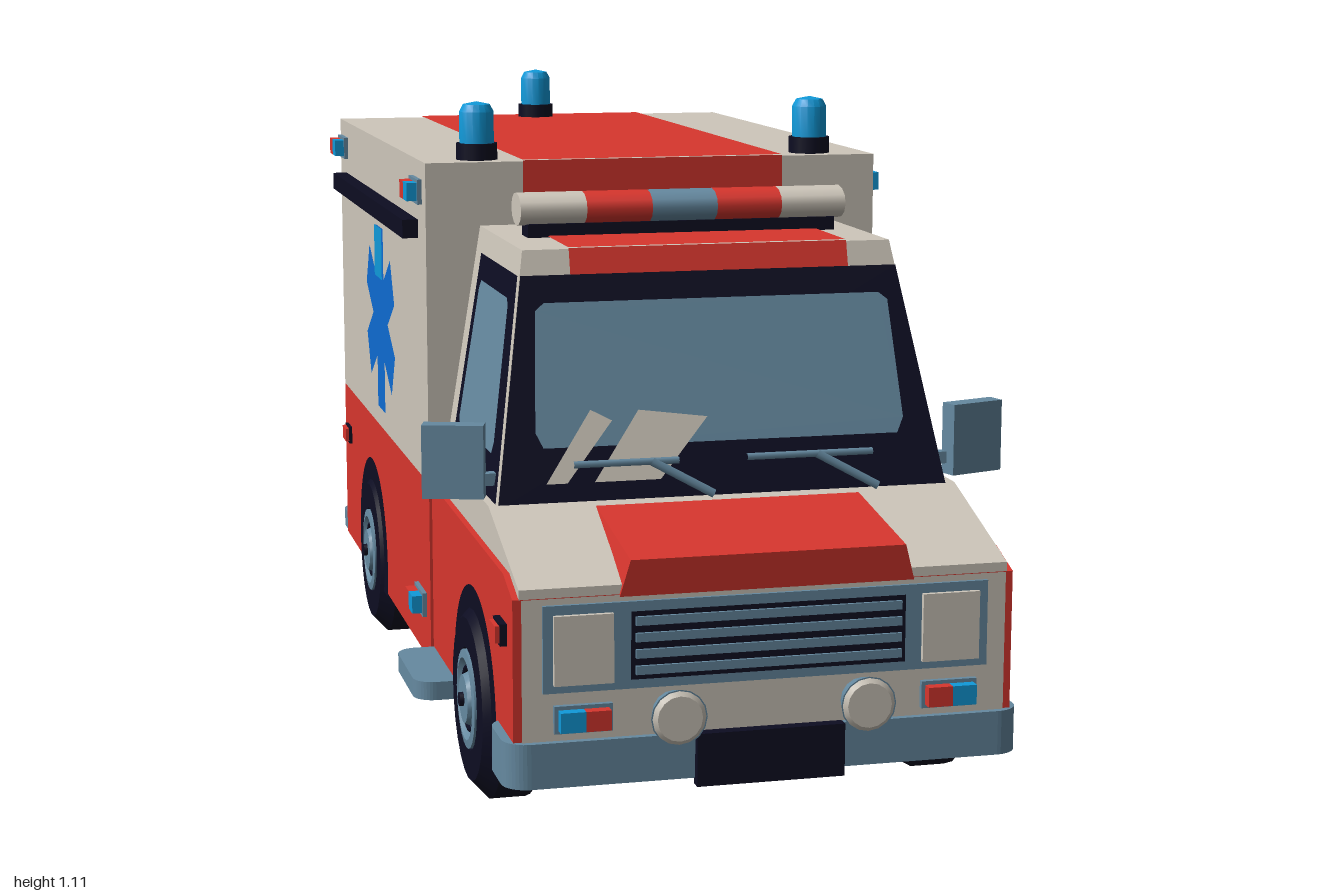
import * as THREE from 'three';
import { toCreasedNormals } from 'three/addons/utils/BufferGeometryUtils.js';

const mat = (name, color) => Object.assign(new THREE.MeshStandardMaterial({ color }), { name });
const white = mat('warm white', 0xcec7bb);
const red = mat('signal red', 0xd8362e);
const steel = mat('blue grey', 0x668aa1);
const black = mat('ink black', 0x0d0d22);
const blue = mat('emblem blue', 0x0f6bd2);
const cyan = mat('beacon blue', 0x109ada);

export function createModel() {
  const root = new THREE.Group();
  root.name = 'ambulance';
  const add = (name, geo, m, parent = root) => {
    const mesh = new THREE.Mesh(geo, m);
    mesh.name = name;
    parent.add(mesh);
    return mesh;
  };
  // axis-aligned block from its limits
  const block = (name, m, x0, x1, y0, y1, z0, z1, parent) =>
    add(name, new THREE.BoxGeometry(x1 - x0, y1 - y0, z1 - z0)
      .translate((x0 + x1) / 2, (y0 + y1) / 2, (z0 + z1) / 2), m, parent);
  // box whose eight corners are placed by a rule
  const hexa = (name, m, rule) => {
    const g = new THREE.BoxGeometry(2, 2, 2), p = g.attributes.position;
    for (let i = 0; i < p.count; i++) p.setXYZ(i, ...rule(p.getX(i), p.getY(i), p.getZ(i)));
    g.computeVertexNormals();
    return add(name, g, m);
  };
  const shapeOf = pts => new THREE.Shape(pts.map(p => new THREE.Vector2(...p)));
  // side profile in (z, y) extruded across the width
  const across = (name, m, pts, half) => add(name,
    new THREE.ExtrudeGeometry(shapeOf(pts), { depth: half * 2, bevelEnabled: false })
      .translate(0, 0, -half).rotateY(-Math.PI / 2), m);
  // flat slab with rounded corners in plan
  const slab = (name, m, x0, x1, z0, z1, y0, y1, r) => {
    const s = new THREE.Shape();
    [[x0 + r, z0 + r, Math.PI], [x1 - r, z0 + r, 1.5 * Math.PI], [x1 - r, z1 - r, 0], [x0 + r, z1 - r, Math.PI / 2]]
      .forEach(([x, z, a]) => s.absarc(x, z, r, a, a + Math.PI / 2));
    const g = new THREE.ExtrudeGeometry(s, { depth: y1 - y0, bevelEnabled: false, curveSegments: 5 });
    return add(name, g.rotateX(Math.PI / 2).translate(0, y1, 0), m);
  };
  // painted face: a shape in (u, v) laid on a surface
  const paint = (name, m, shape, place, flip) => {
    const g = new THREE.ShapeGeometry(Array.isArray(shape) ? shapeOf(shape) : shape, 16), p = g.attributes.position;
    for (let i = 0; i < p.count; i++) p.setXYZ(i, ...place(p.getX(i), p.getY(i)));
    if (flip) g.index.array.reverse();
    g.computeVertexNormals();
    return add(name, g, m);
  };
  const rect = (u0, u1, v0, v1) => [[u0, v0], [u1, v0], [u1, v1], [u0, v1]];
  const cabWidth = y => 0.38 - 0.164 * (y - 0.49);
  const screenZ = y => 0.71 - 0.288 * (y - 0.49);
  const onFront = z => (u, v) => [u, v, z];
  const onScreen = d => (u, v) => [u, v, screenZ(v) + d];
  const onRear = d => (u, v) => [u, v, -0.862 - d];
  const onTop = y => (u, v) => [u, y, v];
  const onSide = (s, x) => (u, v) => [s * x, v, u];
  const onCabSide = (s, d) => (u, v) => [s * (cabWidth(v) + d), v, u];
  const lathe = (pts, seg = 24) => toCreasedNormals(
    new THREE.LatheGeometry(pts.map(p => new THREE.Vector2(...p)), seg), 0.6);

  // rear box and cab shells
  block('lowerBox', red, -0.41, 0.41, 0.11, 0.437, -0.862, 0.225);
  block('upperBox', white, -0.41, 0.41, 0.437, 1.006, -0.862, 0.225);
  block('underside', black, -0.4, 0.4, 0.102, 0.112, -0.858, 0.945);
  across('lowerCab', red, [[0.22, 0.11], [0.952, 0.11], [0.952, 0.405], [0.88, 0.43], [0.22, 0.437]], 0.405);
  across('hoodAndDoorTops', white,
    [[0.22, 0.437], [0.88, 0.43], [0.952, 0.405], [0.952, 0.42], [0.71, 0.5], [0.22, 0.5]], 0.395);
  hexa('cabin', white, (x, y, z) => {
    const h = y > 0 ? 0.895 : 0.48;
    return [x * cabWidth(h), h, z > 0 ? screenZ(h) : 0.22];
  });
  hexa('hoodScoop', red, (x, y, z) => [x * (y > 0 ? 0.222 : 0.238),
    z > 0 ? (y > 0 ? 0.46 : 0.402) : (y > 0 ? 0.5 : 0.43), z > 0 ? (y > 0 ? 0.962 : 0.957) : 0.69]);

  // red roof stripe
  paint('boxRoofStripe', red, rect(-0.237, 0.237, -0.862, 0.225), onTop(1.009), true);
  paint('boxFrontStripe', red, rect(-0.237, 0.237, 0.895, 1.008), onFront(0.228));
  paint('cabRoofStripe', red, rect(-0.237, 0.237, 0.225, 0.593), onTop(0.898), true);
  paint('cabBrowStripe', red, rect(-0.237, 0.237, 0.855, 0.897), onScreen(0.004));

  // windscreen, glints and wipers
  paint('windscreenFrame', black, [[-0.38, 0.492], [0.38, 0.492], [0.32, 0.855], [-0.32, 0.855]], onScreen(0.004));
  paint('windscreenGlass', steel,
    [[-0.3, 0.585], [0.3, 0.585], [0.312, 0.61], [0.3, 0.8], [0.285, 0.812], [-0.285, 0.812], [-0.3, 0.8], [-0.312, 0.61]],
    onScreen(0.008));
  paint('glint', white, [[-0.3, 0.53], [-0.265, 0.53], [-0.185, 0.625], [-0.22, 0.643]], onScreen(0.012));
  paint('glint', white, [[-0.22, 0.53], [-0.11, 0.53], [-0.025, 0.625], [-0.14, 0.64]], onScreen(0.012));
  for (const [x0, x1, xa] of [[-0.255, -0.08, -0.025], [0.035, 0.25, 0.255]]) {
    const at = (x, y) => new THREE.Vector3(x, y, screenZ(y) + 0.02);
    const rod = (a, b, r) => add('wiper', new THREE.TubeGeometry(new THREE.LineCurve3(a, b), 1, r, 6), steel);
    rod(at(x0, 0.56), at(x1, 0.56), 0.006);
    rod(at(xa - 0.1, 0.56), at(xa, 0.505), 0.008);
  }

  // front panel, grille and headlamps
  paint('frontPanel', white, rect(-0.392, 0.392, 0.11, 0.405), onFront(0.956));
  block('grilleFrame', steel, -0.36, 0.36, 0.257, 0.395, 0.94, 0.962);
  paint('grilleOpening', black, rect(-0.222, 0.222, 0.272, 0.38), onFront(0.965));
  for (let i = 0; i < 4; i++) block('grilleSlat', steel, -0.215, 0.215, 0.28 + i * 0.026, 0.294 + i * 0.026, 0.955, 0.97);
  slab('frontBumper', steel, -0.42, 0.42, 0.82, 0.967, 0.108, 0.18, 0.04);
  block('frontPlate', black, -0.12, 0.12, 0.097, 0.182, 0.96, 0.98);

  // rear face
  paint('rearLowerPanel', steel, rect(-0.41, 0.41, 0.11, 0.26), onRear(0.003), true);
  slab('rearStep', steel, -0.405, 0.405, -0.983, -0.85, 0.106, 0.143, 0.045);
  block('rearPlate', black, -0.125, 0.125, 0.158, 0.25, -0.878, -0.86);
  const pipe = new THREE.CatmullRomCurve3([[0.1, -0.55], [0.085, -0.82], [0.06, -0.985]]
    .map(([y, z]) => new THREE.Vector3(-0.18, y, z)));
  add('exhaust', new THREE.TubeGeometry(pipe, 8, 0.027, 10), steel);
  add('exhaustEnd', new THREE.CircleGeometry(0.027, 10).rotateY(Math.PI).translate(-0.18, 0.06, -0.984), black);

  // roof light bar in five segments
  block('lightBarBase', black, -0.27, 0.27, 0.893, 0.918, 0.38, 0.43);
  [white, red, steel, red, white].forEach((m, i) => add('lightBarSegment',
    new THREE.CylinderGeometry(1, 1, 0.114, 12).scale(0.028, 1, 0.042).rotateZ(Math.PI / 2)
      .translate(-0.228 + i * 0.114, 0.942, 0.405), m));

  // beacons
  for (const [x, z] of [[-0.307, 0.163], [0.307, 0.163], [0, -0.8]]) {
    add('beaconBase', new THREE.CylinderGeometry(0.037, 0.037, 0.03, 16), black).position.set(x, 1.02, z);
    add('beaconDome', lathe([[0.031, 0], [0.031, 0.055], [0.024, 0.068], [0, 0.073]], 16), cyan).position.set(x, 1.035, z);
  }

  // two-colour marker lamp, built facing +z
  const marker = (x, y, z, turn, blueSide) => {
    const g = new THREE.Group();
    g.name = 'markerLamp';
    block('markerFrame', steel, -0.046, 0.046, -0.022, 0.022, -0.01, 0.008, g);
    for (const k of [-1, 1]) {
      const a = k * 0.004, b = k * 0.04;
      block('markerLens', k === blueSide ? cyan : red, Math.min(a, b) - (k > 0 ? 0.004 : 0),
        Math.max(a, b) + (k < 0 ? 0.004 : 0), -0.016, 0.016, 0, 0.026, g);
    }
    g.position.set(x, y, z);
    g.rotation.y = turn;
    root.add(g);
  };

  const tyre = [[0, -0.057], [0.135, -0.057], [0.165, -0.03], [0.165, 0.03], [0.135, 0.057], [0.085, 0.057], [0.08, 0.05], [0, 0.05]];
  const rim = [[0.082, 0.045], [0.082, 0.06], [0.068, 0.062], [0.058, 0.052], [0.045, 0.052], [0.04, 0.064], [0, 0.064]];

  for (const s of [-1, 1]) {
    const flip = s > 0;
    // wheels and arches
    for (const [z, x] of [[0.648, 0.405], [-0.443, 0.41]]) {
      const arch = new THREE.Shape();
      arch.absarc(z, 0.165, 0.187, -0.3, Math.PI + 0.3);
      paint('wheelArch', black, arch, onSide(s, x + 0.004), flip);
      const wheel = new THREE.Group();
      wheel.name = 'wheel';
      add('tyre', lathe(tyre), black, wheel);
      add('rim', lathe(rim), steel, wheel);
      add('rimRing', new THREE.TorusGeometry(0.052, 0.005, 6, 20).rotateX(Math.PI / 2).translate(0, 0.053, 0), black, wheel);
      add('hubCap', new THREE.CylinderGeometry(0.012, 0.012, 0.01, 8).translate(0, 0.066, 0), black, wheel);
      wheel.position.set(s * 0.364, 0.165, z);
      wheel.rotation.z = -s * Math.PI / 2;
      root.add(wheel);
    }
    // cab side: window, handle, mirror, step
    paint('sideWindowFrame', black, [[0.29, 0.5], [0.706, 0.5], [0.606, 0.855], [0.29, 0.855]], onCabSide(s, 0.004), flip);
    paint('sideWindowGlass', steel,
      [[0.335, 0.58], [0.345, 0.57], [0.632, 0.57], [0.64, 0.59], [0.585, 0.805], [0.57, 0.815], [0.345, 0.815], [0.335, 0.8]],
      onCabSide(s, 0.008), flip);
    block('doorHandle', black, s * 0.4 - 0.012, s * 0.4 + 0.012, 0.445, 0.48, 0.288, 0.375);
    const mirror = block('mirror', steel, -0.05, 0.05, -0.06, 0.06, -0.016, 0.016);
    mirror.position.set(s * 0.442, 0.567, 0.663);
    mirror.rotation.y = s * 0.3;
    block('mirrorArm', steel, s * 0.385 - 0.025, s * 0.385 + 0.025, 0.525, 0.545, 0.655, 0.675);
    slab('sideStep', steel, s * 0.425 - 0.05, s * 0.425 + 0.05, 0.228, 0.455, 0.108, 0.14, 0.035);
    // box side: rail, emblem and lamps
    block('sideRail', black, s * 0.422 - 0.016, s * 0.422 + 0.016, 0.866, 0.899, -0.78, 0.14);
    for (let i = 0; i < 3; i++) {
      const a = i * Math.PI / 3, c = Math.cos(a), n = Math.sin(a);
      paint('starBar', blue, rect(-0.046, 0.046, -0.18, 0.18).map(([u, v]) => [-0.31 + u * c - v * n, 0.657 + u * n + v * c]),
        onSide(s, 0.413), flip);
    }
    paint('starTip', cyan, rect(-0.356, -0.264, 0.738, 0.837), onSide(s, 0.416), flip);
    for (const [z, y] of [[0.14, 0.952], [-0.8, 0.952], [0.14, 0.206]]) marker(s * 0.41, y, z, s * Math.PI / 2, -s);
    for (const z of [0.88, -0.795]) {
      block('sideReflectorFrame', black, s * 0.41 - 0.006, s * 0.41 + 0.006, 0.322, 0.357, z - 0.029, z + 0.029);
      block('sideReflector', red, s * 0.413 - 0.01, s * 0.413 + 0.01, 0.326, 0.353, z - 0.024, z + 0.024);
    }
    // front lamps
    block('headlamp', white, s * 0.297 - 0.047, s * 0.297 + 0.047, 0.27, 0.38, 0.95, 0.97);
    marker(s * 0.297, 0.215, 0.957, 0, s);
    add('fogLampHousing', new THREE.CylinderGeometry(0.045, 0.035, 0.035, 16).rotateX(Math.PI / 2)
      .translate(s * 0.153, 0.215, 0.978), steel);
    add('fogLampLens', new THREE.CylinderGeometry(0.036, 0.044, 0.007, 16).rotateX(Math.PI / 2)
      .translate(s * 0.153, 0.215, 0.998), white);
    // rear doors: window, shade, handle
    const x = (a, b) => [Math.min(s * a, s * b), Math.max(s * a, s * b)];
    paint('rearWindow', steel, rect(...x(0.04, 0.215), 0.59, 0.86), onRear(0.003), true);
    paint('rearWindowShade', black, rect(...x(0.03, 0.225), 0.815, 0.87), onRear(0.006), true);
    block('rearHandle', black, ...x(0.028, 0.072), 0.465, 0.545, -0.885, -0.86);
    // hazard stripes sloping down to the corners
    for (let i = 0; i < 7; i++) {
      const y = 0.485 + i * 0.077;
      const pts = [[s * 0.322, y], [s * 0.41, y - 0.045], [s * 0.41, y - 0.006], [s * 0.322, y + 0.039]];
      paint('hazardStripe', red, pts, onRear(0.003), true);
    }
    // rear lamps
    for (const [cx, cy, w, h] of [[0.283, 0.925, 0.038, 0.036], [0.363, 0.365, 0.038, 0.055]]) {
      block('rearLampFrame', steel, s * cx - w, s * cx + w, cy - h, cy + h, -0.874, -0.86);
      block('rearLamp', red, s * cx - w + 0.014, s * cx + w - 0.014, cy - h + 0.014, cy + h - 0.014, -0.886, -0.87);
    }
    block('reverseLamp', white, s * 0.363 - 0.024, s * 0.363 + 0.024, 0.382, 0.406, -0.888, -0.87);
    marker(s * 0.32, 0.2, -0.866, Math.PI, -s);
  }
  return root;
}
